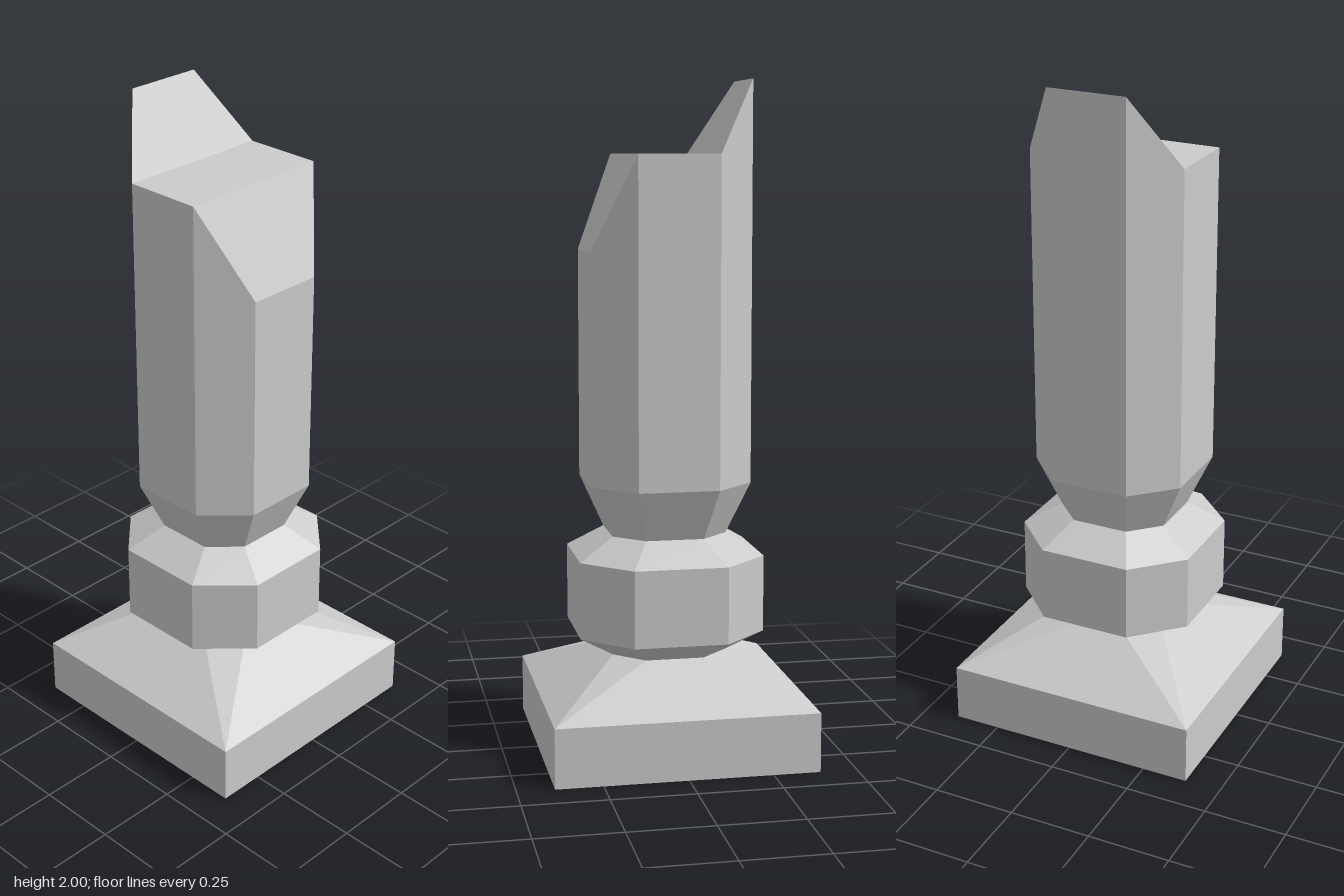
import * as THREE from 'three';

const material = new THREE.MeshStandardMaterial({ color: 0xcccccc, flatShading: true });

// Eight-sided ring: half width h, half length c of its straight sides; y may vary with x.
function ring(h, c, y) {
  const height = typeof y === 'function' ? y : () => y;
  return [[c, h], [h, c], [h, -c], [c, -h], [-c, -h], [-h, -c], [-h, c], [-c, h]]
    .map(([x, z]) => new THREE.Vector3(x, height(x), z));
}

// Joins rings from bottom to top, optionally closing the ends.
function loft(name, rings, { bottom = false, top = false } = {}) {
  const positions = [];
  const triangle = (a, b, c) => {
    if (a.equals(b) || b.equals(c) || c.equals(a)) return;
    for (const p of [a, b, c]) positions.push(p.x, p.y, p.z);
  };
  const quad = (a, b, c, d) => {
    triangle(a, b, c);
    triangle(a, c, d);
  };
  for (let r = 0; r < rings.length - 1; r++) {
    const lower = rings[r], upper = rings[r + 1];
    for (let i = 0; i < 8; i++) {
      const j = (i + 1) % 8;
      quad(lower[i], lower[j], upper[j], upper[i]);
    }
  }
  // Each end is three flat facets: right, middle and left.
  const facets = [[0, 1, 2, 3], [7, 0, 3, 4], [4, 5, 6, 7]];
  for (const f of facets) {
    if (top) quad(...f.map((i) => rings.at(-1)[i]));
    if (bottom) quad(...f.map((i) => rings[0][i]).reverse());
  }
  const geometry = new THREE.BufferGeometry();
  geometry.setAttribute('position', new THREE.Float32BufferAttribute(positions, 3));
  geometry.computeVertexNormals();
  const mesh = new THREE.Mesh(geometry, material);
  mesh.name = name;
  return mesh;
}

export function createModel() {
  const model = new THREE.Group();
  model.name = 'brokenPillar';

  // Square plinth whose sloping top narrows to the octagonal neck
  model.add(loft('plinth', [
    ring(0.39, 0.39, 0), ring(0.39, 0.39, 0.177), ring(0.172, 0.087, 0.3),
  ], { bottom: true }));

  // Bevelled collar
  model.add(loft('collar', [
    ring(0.172, 0.087, 0.3), ring(0.277, 0.139, 0.365),
    ring(0.277, 0.139, 0.595), ring(0.172, 0.087, 0.66),
  ]));

  // Shaft with a jagged top: high on the right, level in the middle, low on the left
  const brokenTop = (x) => (x < -0.2 ? 2 : x > 0.2 ? 1.502 : 1.785);
  model.add(loft('shaft', [
    ring(0.172, 0.087, 0.66), ring(0.24, 0.12, 0.815), ring(0.24, 0.12, brokenTop),
  ], { top: true }));

  return model;
}
